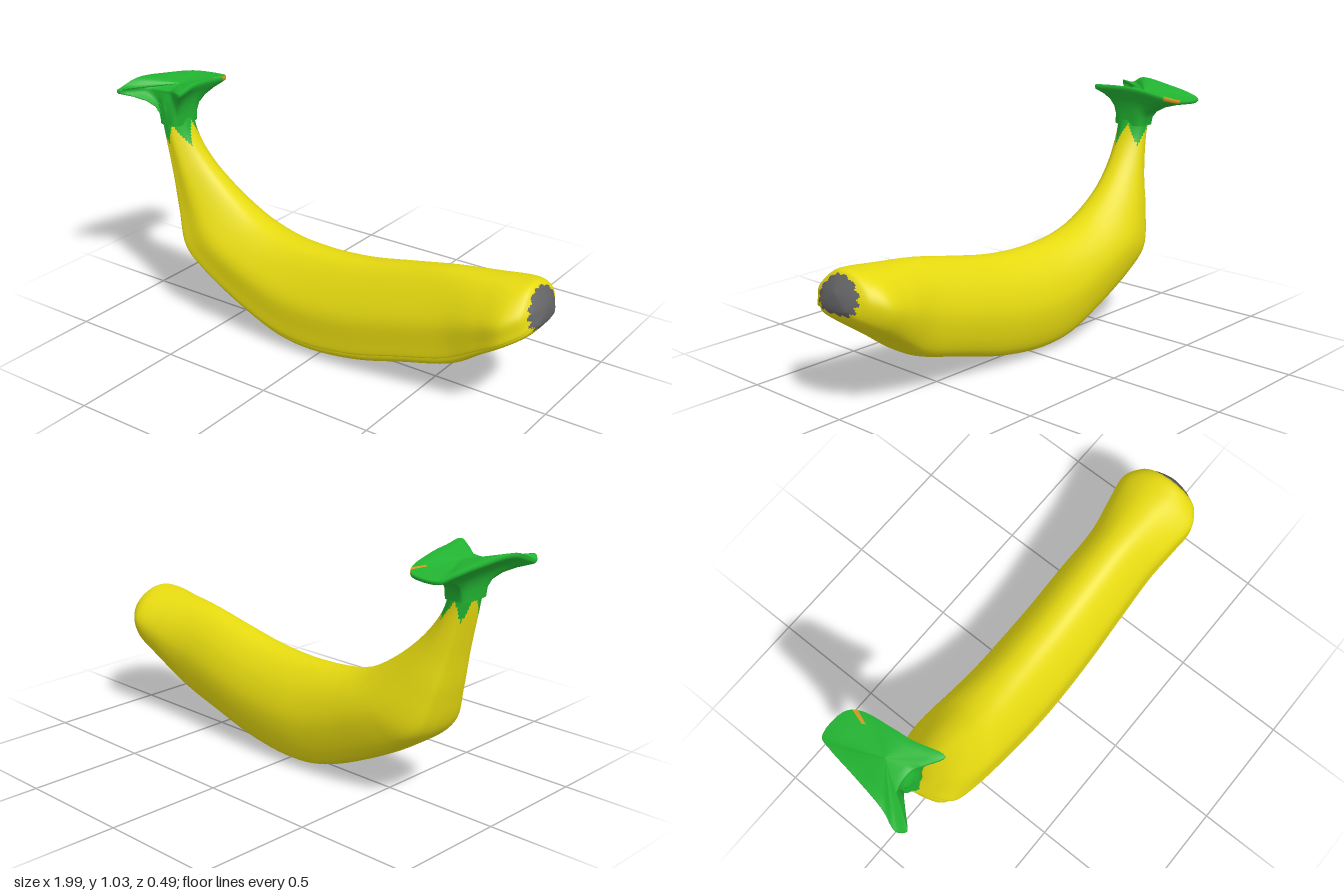
import * as THREE from 'three';

const V = (x, y, z) => new THREE.Vector3(x, y, z);
const curve = (pts, closed = false) => new THREE.CatmullRomCurve3(pts.map(p => V(p[0], p[1], p[2] || 0)), closed, 'centripetal');

// Skins a list of closed rings; pick(centre, row, column) gives the material index of each quad
function loft(rings, materials, pick) {
  const n = rings[0].length, pos = [], faces = materials.map(() => []);
  rings.forEach(r => r.forEach(p => pos.push(p.x, p.y, p.z)));
  for (let i = 0; i < rings.length - 1; i++) {
    for (let j = 0; j < n; j++) {
      const k = (j + 1) % n;
      const a = i * n + j, b = i * n + k, c = a + n, d = b + n;
      const mid = V().add(rings[i][j]).add(rings[i][k]).add(rings[i + 1][j]).add(rings[i + 1][k]).multiplyScalar(0.25);
      faces[pick(mid, i, j)].push(a, c, b, b, c, d);
    }
  }
  const g = new THREE.BufferGeometry();
  g.setAttribute('position', new THREE.Float32BufferAttribute(pos, 3));
  g.setIndex(faces.flat());
  let start = 0;
  faces.forEach((f, m) => { g.addGroup(start, f.length, m); start += f.length; });
  g.computeVertexNormals();
  return new THREE.Mesh(g, materials);
}

export function createModel() {
  const mat = (name, color) => {
    const m = new THREE.MeshStandardMaterial({ color, side: THREE.DoubleSide });
    m.name = name;
    return m;
  };
  const yellow = mat('yellow peel', 0xe6da10), green = mat('green stem', 0x22b432);
  const grey = mat('grey tip', 0x646466), orange = mat('orange bruise', 0xd99a1c);
  const group = new THREE.Group();
  group.name = 'banana';

  // Stations from stem to tip: outer edge x, y; inner edge x, y; front z, back z
  const stations = [
    [-0.865, 0.94, -0.765, 0.93, 0.12, -0.03], [-0.85, 0.89, -0.755, 0.89, 0.12, -0.03],
    [-0.83, 0.78, -0.725, 0.80, 0.12, -0.03], [-0.80, 0.62, -0.66, 0.70, 0.125, -0.055],
    [-0.775, 0.46, -0.55, 0.59, 0.14, -0.10], [-0.73, 0.31, -0.40, 0.49, 0.175, -0.145],
    [-0.62, 0.22, -0.30, 0.455, 0.187, -0.155], [-0.40, 0.10, -0.20, 0.44, 0.19, -0.155],
    [-0.20, 0.02, -0.10, 0.435, 0.19, -0.155], [-0.03, 0.003, 0.00, 0.435, 0.19, -0.155],
    [0.20, 0.03, 0.17, 0.45, 0.187, -0.15], [0.42, 0.09, 0.38, 0.49, 0.18, -0.145],
    [0.65, 0.16, 0.58, 0.53, 0.175, -0.138], [0.78, 0.25, 0.76, 0.55, 0.192, -0.16],
    [0.88, 0.32, 0.87, 0.56, 0.203, -0.17], [0.955, 0.375, 0.93, 0.56, 0.16, -0.12],
    [0.99, 0.42, 0.95, 0.54, 0.10, -0.06]];
  const outer = curve(stations.map(s => [s[0], s[1]]));
  const inner = curve(stations.map(s => [s[2], s[3]]));
  const sides = curve(stations.map((s, i) => [s[4], s[5], i * 0.1]));

  // Cross-section: side (-1 back, 1 front) and height (0 outer, 1 inner), with a lip low on the front
  const section = curve([[0, 0], [0.6, 0.02], [0.84, 0.08], [0.88, 0.19], [0.985, 0.145], [1, 0.28], [1, 0.5],
    [0.78, 0.72], [0.4, 0.94], [0.1, 1], [-0.35, 0.96], [-0.8, 0.76], [-1, 0.52], [-0.97, 0.3], [-0.8, 0.1], [-0.4, 0.02]], true);
  const cols = 80, rows = 128;
  const profile = Array.from({ length: cols }, (_, j) => section.getPoint(j / cols));
  const body = [];
  for (let i = 0; i <= rows; i++) {
    const t = i / rows, a = outer.getPoint(t), b = inner.getPoint(t), s = sides.getPoint(t);
    body.push(profile.map(p => {
      const q = a.clone().lerp(b, p.y);
      q.z = (s.x + s.y) / 2 + p.x * (s.x - s.y) / 2;
      return q;
    }));
  }
  // Rounded closing of the blossom end
  const last = body[rows], tip = V(0.985, 0.485, 0.02);
  [0.35, 0.7, 1].forEach(f => body.push(last.map(p => {
    const q = p.clone().lerp(tip, f);
    q.x += 0.012 * f * (1 - f);
    return q;
  })));
  const zigzag = u => Math.abs((u % 1) * 2 - 1) * 2 - 1;
  const peel = loft(body, [yellow, green, grey], (c, i, j) => {
    if (i > rows - 4 + zigzag(j / 5) * 1.2) return 2;
    return c.x < -0.6 && c.y > 0.81 + 0.045 * zigzag(5 * j / cols) ? 1 : 0;
  });
  peel.name = 'peel';
  group.add(peel);

  // Torn crown: rim outline flaring out of the stem
  const rim = curve([[-0.90, 0.985, -0.24], [-0.78, 0.99, -0.24], [-0.74, 1.0, -0.19], [-0.72, 1.025, -0.05],
    [-0.71, 1.032, 0.04], [-0.68, 1.03, 0.17], [-0.75, 1.015, 0.13], [-0.80, 1.0, 0.10], [-0.90, 1.0, 0.12],
    [-0.97, 1.01, 0.237], [-0.997, 1.0, 0.205], [-0.97, 1.033, 0.12], [-0.94, 1.02, -0.05], [-0.92, 1.0, -0.18]], true);
  const rimPts = Array.from({ length: 84 }, (_, j) => rim.getPoint(j / 84));
  const ring = (f, h, drop = 0) => rimPts.map(p => {
    const ang = Math.atan2((p.z - 0.045) / 0.2, (p.x + 0.805) / 0.13);
    const x = -0.805 + 0.054 * Math.sign(Math.cos(ang)) * Math.sqrt(Math.abs(Math.cos(ang)));
    const z = 0.045 + 0.077 * Math.sign(Math.sin(ang)) * Math.sqrt(Math.abs(Math.sin(ang)));
    return V(x + (p.x - x) * f, 0.85 + (p.y - 0.85) * h - drop, z + (p.z - z) * f);
  });
  const centre = V(-0.82, 1.005, 0.0);
  const shell = [ring(0, 0), ring(0.03, 0.25), ring(0.12, 0.45), ring(0.32, 0.63), ring(0.62, 0.77),
    ring(0.97, 0.88), ring(1, 0.94), ring(0.985, 1)];
  [0.3, 0.6, 0.85, 1].forEach(f => shell.push(ring(0.985, 1).map(p => p.lerp(centre, f))));
  const crown = loft(shell, [green, orange], (c, i) => i > 4 && c.x > -0.768 && c.z < -0.17 ? 1 : 0);
  crown.name = 'crown';
  group.add(crown);
  return group;
}
